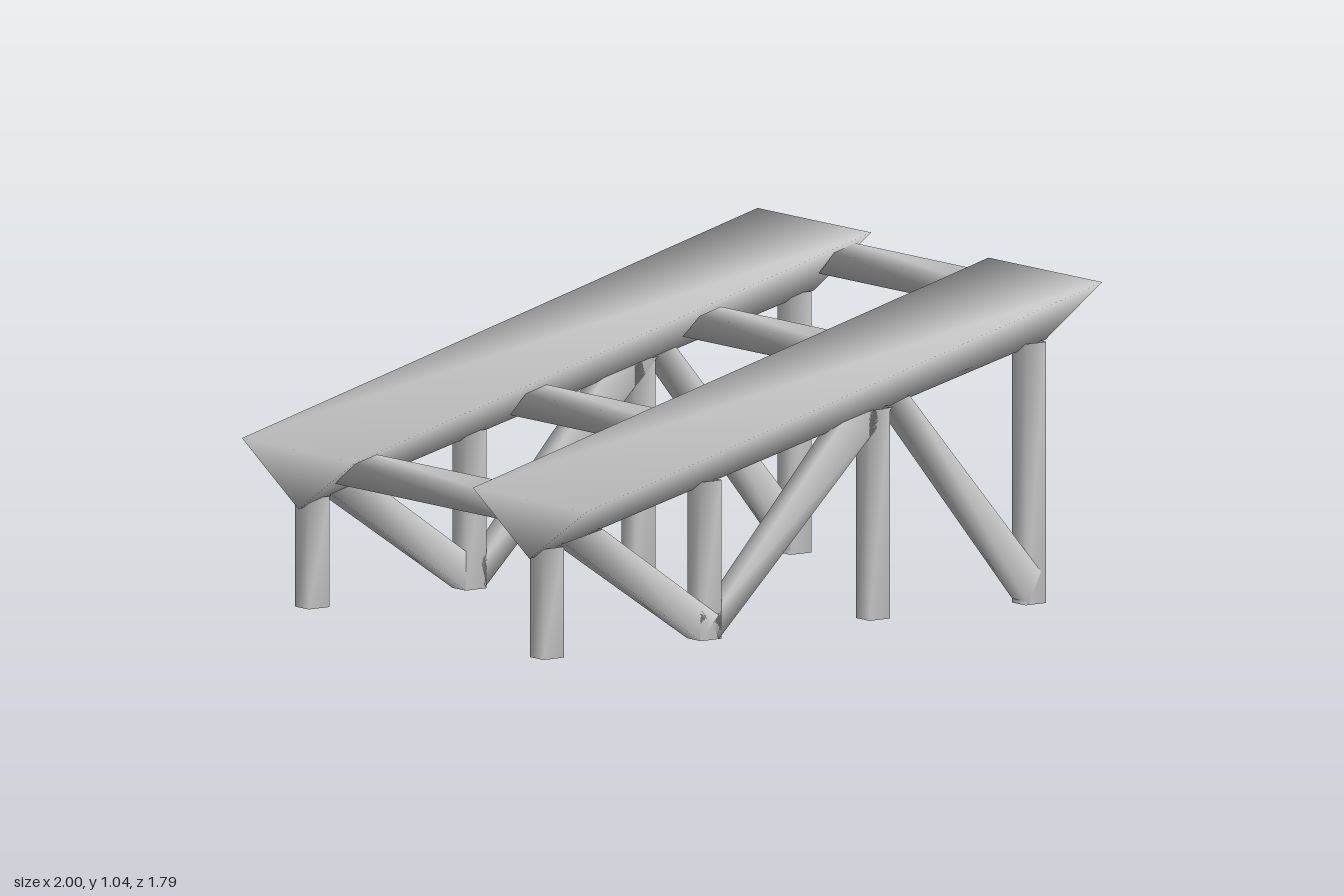
import * as THREE from 'three';

const material = new THREE.MeshStandardMaterial({ color: 0xcccccc, side: THREE.DoubleSide });

// Joins two matching rings of points into a smooth-shaded beam, optionally closed at both ends
function beam(name, ringA, ringB, capped = false) {
  const n = ringA.length;
  const index = [];
  for (let i = 0; i < n; i++) {
    const j = (i + 1) % n;
    index.push(i, j, n + j, i, n + j, n + i);
  }
  if (capped) {
    for (let i = 1; i < n - 1; i++) index.push(0, i + 1, i, n, n + i, n + i + 1);
  }
  const geometry = new THREE.BufferGeometry();
  geometry.setAttribute('position', new THREE.Float32BufferAttribute([...ringA, ...ringB].flat(), 3));
  geometry.setIndex(index);
  geometry.computeVertexNormals();
  const mesh = new THREE.Mesh(geometry, material);
  mesh.name = name;
  return mesh;
}

// Square strut in the xy plane, given its left and right edge at the start and the end
function strut(name, z, [leftA, rightA], [leftB, rightB]) {
  const d = 0.035;
  const ring = (l, r) => [[...l, z - d], [...l, z + d], [...r, z + d], [...r, z - d]];
  return beam(name, ring(leftA, rightA), ring(leftB, rightB));
}

const topY = (x) => 0.775 + 0.265 * x;
const keelY = (x) => 0.572 + 0.248 * x;

// Sloping rail: flat on top, V-shaped underneath
function rail(z) {
  const half = 0.295;
  const ring = (x) => [[x, topY(x), z + half], [x, keelY(x), z], [x, topY(x), z - half]];
  return beam('rail', ring(-1), ring(1), true);
}

// Crossbar tilted with the slope, its ends mitred against the rails' undersides
function crossbar(x, y, topZ, bottomZ) {
  const h = 0.0425, tilt = Math.atan(0.265);
  const c = Math.cos(tilt) * h, s = Math.sin(tilt) * h;
  const corners = [[-1, -1, bottomZ], [1, -1, bottomZ], [1, 1, topZ], [-1, 1, topZ]];
  const ring = (side) => corners.map(([u, v, z]) => [x + u * c - v * s, y + u * s + v * c, side * z]);
  return beam('crossbar', ring(-1), ring(1));
}

export function createModel() {
  const model = new THREE.Group();
  model.name = 'slopingFrame';

  for (const side of [1, -1]) {
    const frame = new THREE.Group();
    frame.name = side > 0 ? 'frontFrame' : 'backFrame';
    frame.add(rail(side * 0.6));

    // Upright posts
    const z = side * 0.61, w = 0.04;
    for (const [x, base] of [[-0.94, 0.01], [-0.33, 0.01], [0.325, 0.01], [0.93, 0]]) {
      const top = keelY(x) + 0.02;
      frame.add(strut('post', z, [[x - w, base], [x + w, base]], [[x - w, top], [x + w, top]]));
    }

    // Diagonal braces
    frame.add(
      strut('lowBrace', z, [[-0.37, 0.01], [-0.3, 0.085]], [[-0.9, 0.37], [-0.75, 0.4]]),
      strut('middleBrace', z, [[-0.33, 0.075], [-0.3, 0.01]], [[0.2, 0.665], [0.375, 0.675]]),
      strut('highBrace', z, [[0.9, 0], [0.95, 0.1]], [[0.36, 0.68], [0.44, 0.705]]),
    );
    model.add(frame);
  }

  // Crossbars between the two rails
  model.add(
    crossbar(-0.935, 0.472, 0.34, 0.455),
    crossbar(-0.24, 0.618, 0.37, 0.48),
    crossbar(0.42, 0.802, 0.35, 0.468),
    crossbar(0.935, 0.953, 0.34, 0.45),
  );
  return model;
}
